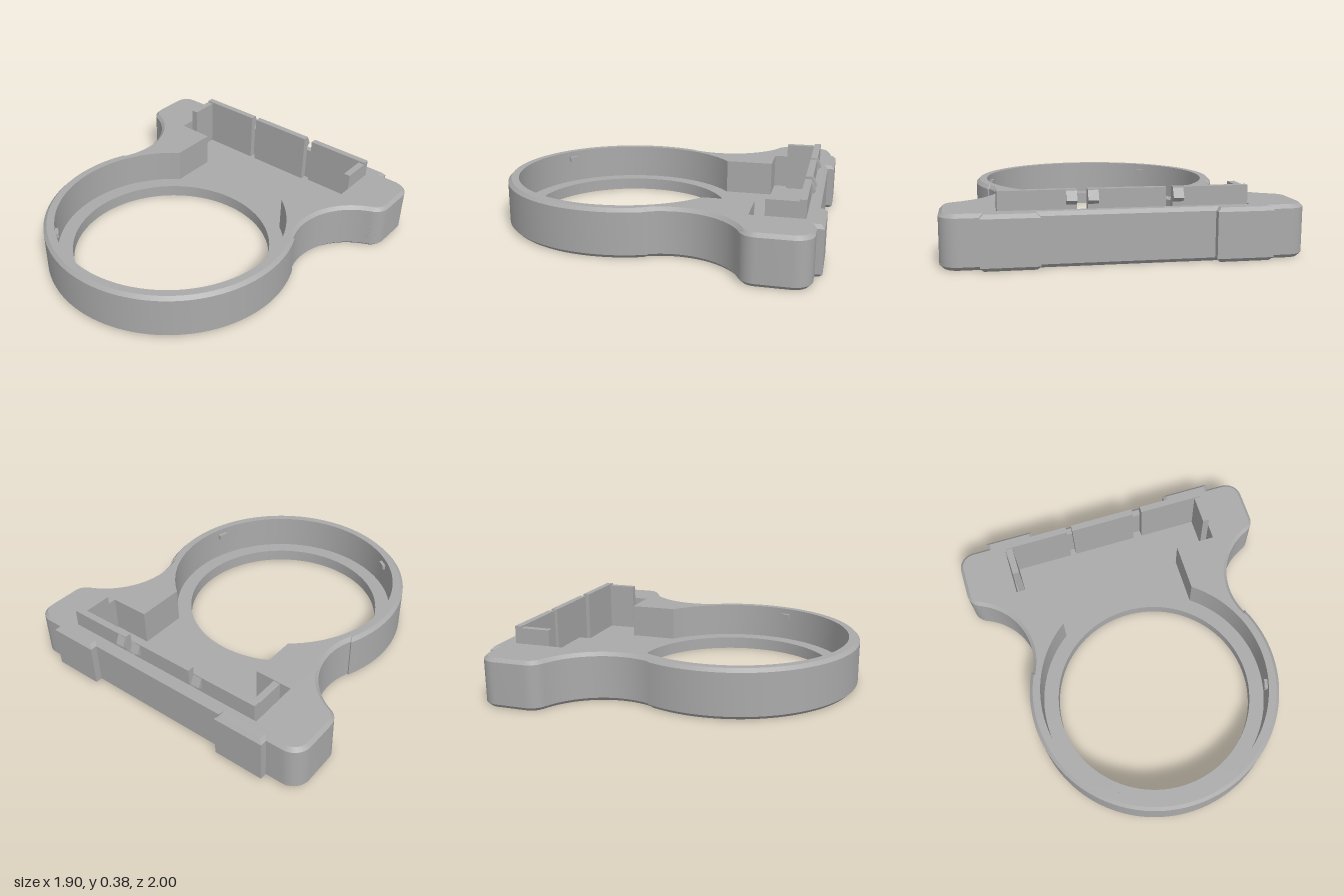
import * as THREE from 'three';
import { toCreasedNormals } from 'three/addons/utils/BufferGeometryUtils.js';

const H = 0.285, FLOOR = 0.075, CH = 0.02, RING_Z = 0.24;
const V = (x, z) => new THREE.Vector2(x, z);

// points on an arc in the x/z plane, angles in degrees
function arc(cx, cz, r, a0, a1, n) {
  return Array.from({ length: n + 1 }, (_, i) => {
    const a = THREE.MathUtils.degToRad(a0 + (a1 - a0) * i / n);
    return V(cx + r * Math.cos(a), cz + r * Math.sin(a));
  });
}

// drop repeated points and make every loop run the same way
function clean(pts) {
  const out = pts.filter((p, i) => p.distanceTo(pts[(i + 1) % pts.length]) > 1e-4);
  return THREE.ShapeUtils.area(out) < 0 ? out.reverse() : out;
}

// move a loop inwards with mitred corners
function inset(loop, d) {
  const n = loop.length;
  return loop.map((p, i) => {
    const a = p.clone().sub(loop[(i + n - 1) % n]).normalize();
    const b = loop[(i + 1) % n].clone().sub(p).normalize();
    const m = V(-a.y - b.y, a.x + b.x).normalize();
    return p.clone().addScaledVector(m, d / Math.max(0.5, m.dot(V(-a.y, a.x))));
  });
}

// strips joining stacked loops [[loop, y], ...]; inward walls face the middle
function wall(levels, inward = false) {
  const pos = [];
  for (let k = 0; k < levels.length - 1; k++) {
    const [lo, y0] = levels[k], [hi, y1] = levels[k + 1];
    for (let i = 0; i < lo.length; i++) {
      const j = (i + 1) % lo.length;
      const a = [lo[i].x, y0, lo[i].y], b = [lo[j].x, y0, lo[j].y];
      const c = [hi[j].x, y1, hi[j].y], d = [hi[i].x, y1, hi[i].y];
      pos.push(...(inward ? [a, b, c, a, c, d] : [a, c, b, a, d, c]).flat());
    }
  }
  const g = new THREE.BufferGeometry();
  g.setAttribute('position', new THREE.Float32BufferAttribute(pos, 3));
  return toCreasedNormals(g, 0.45);
}

// flat face with a hole, facing up or down
function face(loop, hole, y, up) {
  const s = up ? -1 : 1;
  const map = pts => pts.map(p => V(p.x, s * p.y));
  const shape = new THREE.Shape(map(loop));
  if (hole) shape.holes.push(new THREE.Path(map(hole)));
  return new THREE.ShapeGeometry(shape).rotateX(s * Math.PI / 2).translate(0, y, 0);
}

export function createModel() {
  const model = new THREE.Group();
  const grey = new THREE.MeshStandardMaterial({ color: 0xaaaaaa });
  grey.name = 'grey plastic';
  const add = (name, geometry) => {
    const m = new THREE.Mesh(geometry, grey);
    m.name = name;
    model.add(m);
    return m;
  };
  const box = (name, x0, x1, y0, y1, z0, z1) =>
    add(name, new THREE.BoxGeometry(x1 - x0, y1 - y0, z1 - z0))
      .position.set((x0 + x1) / 2, (y0 + y1) / 2, (z0 + z1) / 2);

  // outline: ring, concave waist, rounded shoulders and two back pads
  const half = [
    ...arc(0, RING_Z, 0.755, 90, -23.65, 48),
    ...arc(1.05, -0.22, 0.4, 156.35, 246.4, 24),
    ...arc(0.85, -0.678, 0.1, 66.4, 0, 8),
    ...arc(0.85, -0.86, 0.1, 0, -90, 10),
    V(0.75, -0.96), V(0.75, -1), V(0.45, -1), V(0.45, -0.96),
  ];
  const outline = clean([...half, ...half.map(p => V(-p.x, p.y)).reverse()]);
  const rim = inset(outline, CH);

  // pocket: round seat, corridor and wide bay at the back
  const pocket = clean([
    ...arc(0, RING_Z, 0.69, -52.5, 232.5, 80),
    V(-0.42, -0.6), V(-0.645, -0.6), V(-0.645, -0.9),
    V(0.665, -0.9), V(0.665, -0.6), V(0.42, -0.6),
  ]);
  const hole = clean(arc(0, RING_Z, 0.6, 0, 360, 96));

  add('outerWall', wall([[rim, 0], [outline, CH], [outline, H - CH], [rim, H]]));
  add('topFace', face(rim, pocket, H, true));
  add('bottomFace', face(rim, hole, 0, false));
  add('pocketFloor', face(pocket, hole, FLOOR, true));
  add('pocketWall', wall([[pocket, FLOOR], [pocket, H]], true));
  add('holeWall', wall([[hole, 0], [hole, FLOOR]], true));

  // upright clip panels along the back of the bay
  for (const [x0, x1] of [[-0.635, -0.235], [-0.2, 0.205], [0.26, 0.66]])
    box('clipPanel', x0, x1, FLOOR, 0.385, -0.9, -0.86);

  // side tabs closing the panel row
  box('sideTabRight', -0.635, -0.595, FLOOR, 0.375, -0.86, -0.685);
  box('sideTabLeft', 0.62, 0.66, FLOOR, 0.375, -0.86, -0.685);

  // wedge catches behind the panels
  const wedge = new THREE.Shape([V(0.89, 0.3), V(0.925, 0.33), V(0.9, 0.38), V(0.89, 0.38)]);
  for (const x of [-0.29, 0.15, 0.26]) {
    const g = new THREE.ExtrudeGeometry(wedge, { depth: 0.055, bevelEnabled: false });
    add('catch', g.rotateY(Math.PI / 2).translate(x, 0, 0));
  }

  // small retaining nubs inside the ring
  for (const deg of [16, 128]) {
    const a = THREE.MathUtils.degToRad(deg);
    const nub = add('retainingNub', new THREE.BoxGeometry(0.03, 0.03, 0.06));
    nub.position.set(0.685 * Math.cos(a), 0.235, RING_Z + 0.685 * Math.sin(a));
    nub.rotation.y = -a;
  }
  return model;
}
